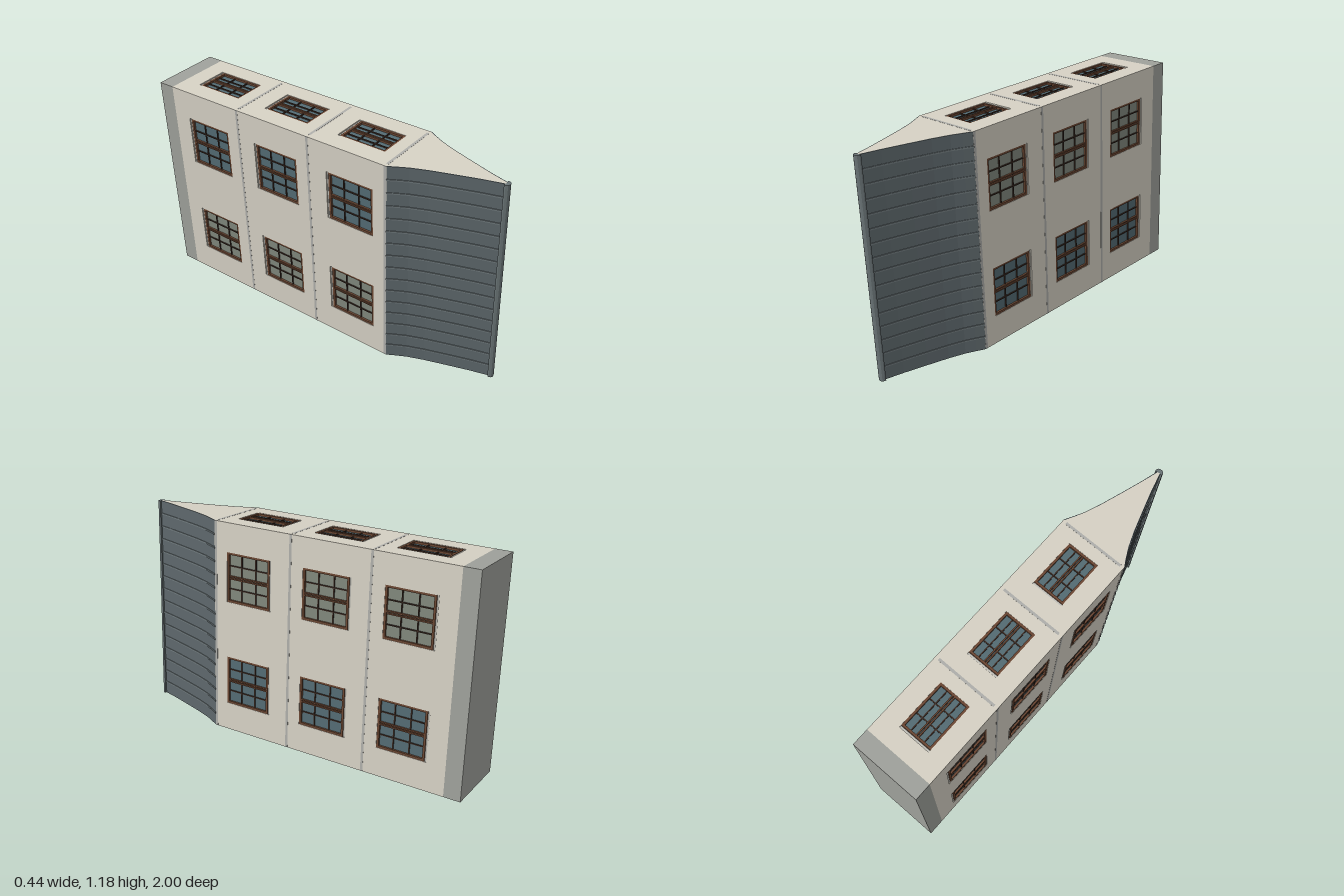
import * as THREE from 'three';

const HALF_W = 0.189, HALF_L = 0.5815, EAVES = 0.47, BASE = -0.91, WALL = 0.02;
const WIN_H = 0.264, FLOORS = [-0.663, -0.205, 0.259];
// half-width and height of the flared roof, eaves to ridge
const ROOF = [[0.189, 0.47], [0.165, 0.515], [0.14, 0.565], [0.108, 0.65], [0.073, 0.76], [0.036, 0.88], [0.009, 0.98]];

const mat = (color, side = THREE.FrontSide) => new THREE.MeshStandardMaterial({ color, side });
const M = {
  wall: mat(0xd6d1c4), plinth: mat(0x9fa19b), belt: mat(0xaeaeaa), sill: mat(0xb9b8b1),
  frame: mat(0x6a4632), bar: mat(0x3a2a22), slate: mat(0x5c666a), seam: mat(0x6d777a), cap: mat(0x697375),
  blueGlass: mat(0x536b73), greyGlass: mat(0x80877c),
};

function add(parent, name, geometry, material, x = 0, y = 0, z = 0) {
  const mesh = new THREE.Mesh(geometry, material);
  mesh.name = name;
  mesh.position.set(x, y, z);
  parent.add(mesh);
  return mesh;
}

const box = (w, h, d) => new THREE.BoxGeometry(w, h, d);

function prism(points, depth) {
  const shape = new THREE.Shape(points.map(([x, y]) => new THREE.Vector2(x, y)));
  return new THREE.ExtrudeGeometry(shape, { depth, bevelEnabled: false }).translate(0, 0, -depth / 2);
}

// Casement window with two leaves, centred on its frame and facing +z
function makeWindow(w, glass) {
  const g = new THREE.Group(), h = WIN_H, t = 0.012, d = 0.012;
  g.name = 'window';
  add(g, 'glass', box(w, h, 0.002), glass, 0, 0, -0.012);
  for (const s of [-1, 1]) {
    add(g, 'frameSide', box(t, h, d), M.frame, s * (w / 2 - t / 2), 0, -0.006);
    add(g, 'frameRail', box(w, t, d), M.frame, 0, s * (h / 2 - t / 2), -0.006);
    add(g, 'leafStile', box(0.007, h - t, d), M.frame, s * 0.006, 0, -0.007);
    add(g, 'verticalBar', box(0.006, h - t, 0.007), M.bar, s * w * 0.23, 0, -0.009);
    add(g, 'crossBar', box(w - t, 0.006, 0.007), M.bar, 0, s * h / 6, -0.009);
  }
  // sloping sill below the frame
  const sill = add(g, 'sill', box(w, 0.014, 0.012), M.sill, 0, -h / 2 - 0.007, -0.009);
  sill.rotation.x = 0.3;
  return g;
}

// Wall panel with window openings, outer face at z = 0
function makeWall(name, width, columns, winW) {
  const g = new THREE.Group();
  g.name = name;
  const shape = new THREE.Shape([
    [-width / 2, BASE], [width / 2, BASE], [width / 2, EAVES], [-width / 2, EAVES],
  ].map(([x, y]) => new THREE.Vector2(x, y)));
  for (const u of columns) for (const y of FLOORS) {
    const l = u - winW / 2, r = u + winW / 2, b = y - WIN_H / 2 - 0.012, t = y + WIN_H / 2;
    shape.holes.push(new THREE.Path([[l, b], [l, t], [r, t], [r, b]].map(([px, py]) => new THREE.Vector2(px, py))));
    const win = makeWindow(winW, u > 0 ? M.greyGlass : M.blueGlass);
    win.position.set(u, y, -0.002);
    g.add(win);
  }
  add(g, 'wallPanel', new THREE.ExtrudeGeometry(shape, { depth: WALL, bevelEnabled: false }), M.wall, 0, 0, -WALL);
  // thin storey bands
  for (const y of [-0.455, 0.002, 0.462]) add(g, 'storeyBand', box(width, 0.014, 0.002), M.belt, 0, y, -0.0004);
  return g;
}

export function createModel() {
  const model = new THREE.Group();
  model.name = 'building';
  const house = new THREE.Group();
  house.name = 'house';

  add(house, 'plinth', box(HALF_W * 2, BASE + 1, HALF_L * 2), M.plinth, 0, (BASE - 1) / 2, 0);

  // long sides and narrow ends
  for (const s of [-1, 1]) {
    const side = makeWall('sideWall', HALF_L * 2, [-0.29, 0.29], 0.27);
    side.rotation.y = s * Math.PI / 2;
    side.position.x = s * HALF_W;
    house.add(side);
    const end = makeWall('endWall', (HALF_W - WALL) * 2, [0], 0.176);
    end.rotation.y = s > 0 ? 0 : Math.PI;
    end.position.z = s * HALF_L;
    house.add(end);
  }

  // gable core under the roofing
  const inner = ROOF.map(([x, y]) => [x - 0.003, y]);
  const left = inner.map(([x, y]) => [-x, y]).reverse();
  add(house, 'gable', prism([...inner, ...left], HALF_L * 2), M.wall);

  // slate skins and raised seams on both slopes
  for (const s of [-1, 1]) {
    const strip = (a, b) => [
      ...ROOF.map(([x, y]) => [s * (x + a), y]),
      ...ROOF.map(([x, y]) => [s * (x + b), y]).reverse(),
    ];
    add(house, 'roofSlope', prism(strip(0, -0.004), HALF_L * 2), M.slate);
    const seam = prism(strip(0.004, -0.002), 0.008);
    for (let i = 1; i < 16; i++) add(house, 'roofSeam', seam, M.seam, 0, 0, -HALF_L + i * HALF_L / 8);
  }

  // ridge cap
  add(house, 'ridgeCap', prism([
    [-0.02, 0.978], [0.02, 0.978], [0.02, 0.986], [0.014, 0.996], [0.006, 1], [-0.006, 1], [-0.014, 0.996], [-0.02, 0.986],
  ], HALF_L * 2), M.cap);

  // the building lies on its end wall, roof forward, slightly tilted
  house.rotation.x = Math.PI / 2;
  const tilt = new THREE.Group();
  tilt.name = 'tiltedBuilding';
  tilt.add(house);
  tilt.rotation.z = 0.0515;
  tilt.position.y = 0.591;
  model.add(tilt);
  return model;
}
